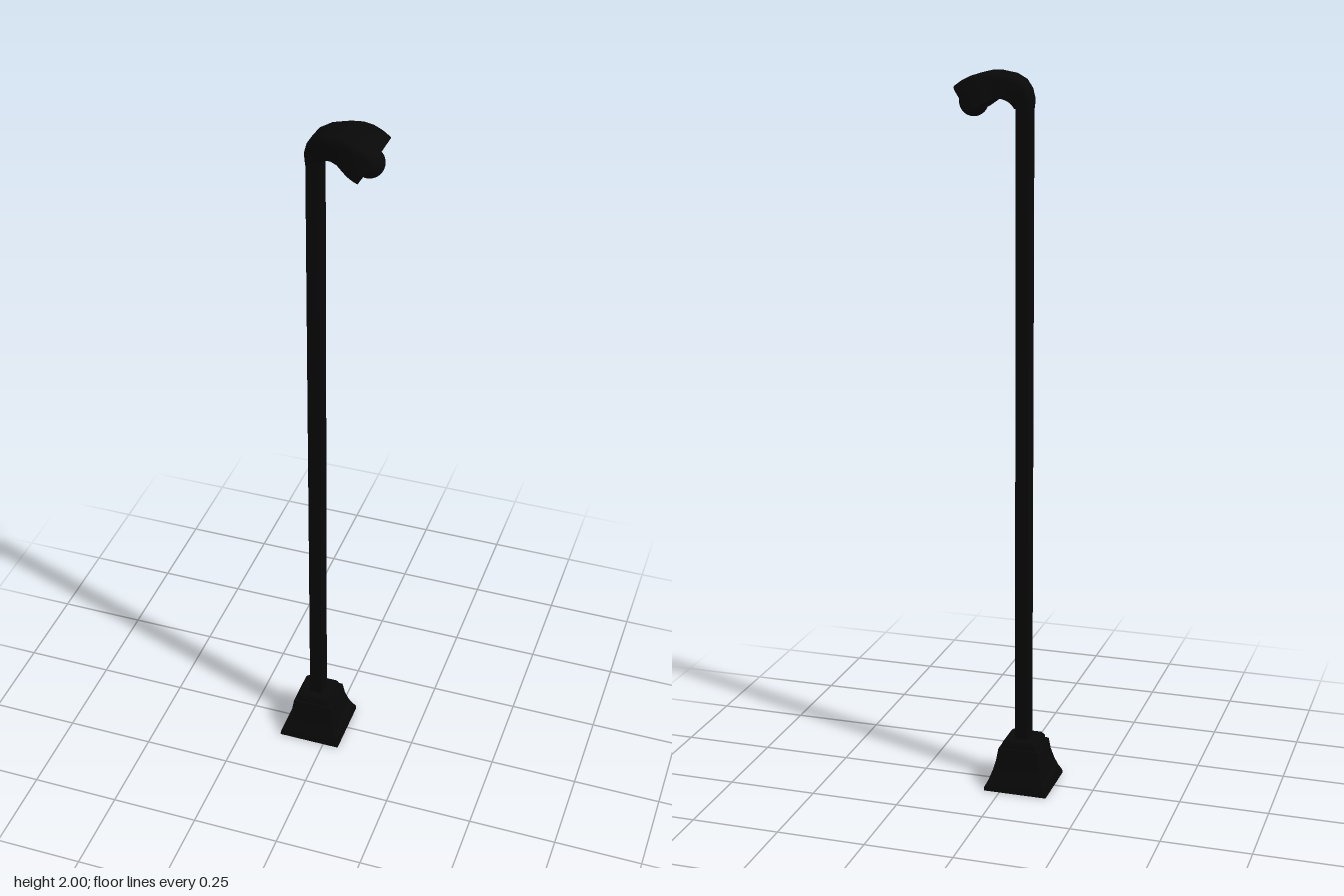
import * as THREE from 'three';
import { toCreasedNormals } from 'three/addons/utils/BufferGeometryUtils.js';

const black = new THREE.MeshStandardMaterial({ color: 0x080808 });
const POLE_X = -0.045;

// Skin a list of rings (each counterclockwise about the direction of travel) and cap both ends.
function loft(rings, crease = 0.6) {
  const n = rings[0].length;
  const index = [];
  for (let r = 0; r < rings.length - 1; r++) {
    for (let i = 0; i < n; i++) {
      const j = (i + 1) % n, a = r * n, b = a + n;
      index.push(a + i, a + j, b + j, a + i, b + j, b + i);
    }
  }
  const last = (rings.length - 1) * n;
  for (let i = 1; i < n - 1; i++) {
    index.push(0, i + 1, i, last, last + i, last + i + 1);
  }
  const geometry = new THREE.BufferGeometry();
  geometry.setAttribute('position', new THREE.Float32BufferAttribute(rings.flat(2), 3));
  geometry.setIndex(index);
  return toCreasedNormals(geometry, crease);
}

// Horizontal rectangle with cut corners, around the pole axis.
function plate(y, hx, hz = hx, c = 0.002) {
  return [
    [hx - c, hz], [hx, hz - c], [hx, c - hz], [hx - c, -hz],
    [c - hx, -hz], [-hx, c - hz], [-hx, hz - c], [c - hx, hz],
  ].map(([x, z]) => [POLE_X + x, y, z]);
}

// Hood section: spans from upper point to lower point, half width w, with rounded upper corners.
function hoodRing([tx, ty, bx, by, w]) {
  const length = Math.hypot(tx - bx, ty - by);
  const r = Math.min(0.016, length * 0.35, w * 0.4);
  const side = [];
  for (let k = 0; k <= 3; k++) {
    const a = (k / 3) * Math.PI / 2;
    side.push([r * (1 - Math.cos(a)), w - r + r * Math.sin(a)]);
  }
  side.push([length, w]);
  const outline = [...side, ...side.map(([d, z]) => [d, -z]).reverse()];
  return outline.map(([d, z]) => [tx + (bx - tx) * d / length, ty + (by - ty) * d / length, z]);
}

export function createModel() {
  const group = new THREE.Group();
  const add = (name, geometry) => {
    const mesh = new THREE.Mesh(geometry, black);
    mesh.name = name;
    group.add(mesh);
    return mesh;
  };

  // Flared square foot
  add('base', loft([
    plate(0, 0.091), plate(0.01, 0.09), plate(0.03, 0.08), plate(0.055, 0.071),
    plate(0.085, 0.063), plate(0.118, 0.058),
  ]));
  // Stepped collar where the pole enters the foot
  add('baseCollar', loft([
    plate(0.11, 0.051, 0.051, 0.006), plate(0.132, 0.05, 0.05, 0.006),
    plate(0.139, 0.045, 0.045, 0.006),
  ]));
  // Straight pole
  add('pole', loft([plate(0.12, 0.02, 0.022, 0.003), plate(1.93, 0.02, 0.022, 0.003)]));

  // Curved hood widening towards its open end: upper x, y, lower x, y, half width
  add('hood', loft([
    [-0.067, 1.905, -0.024, 1.905, 0.027],
    [-0.068, 1.93, -0.02, 1.912, 0.03],
    [-0.06, 1.957, -0.012, 1.922, 0.036],
    [-0.043, 1.979, -0.002, 1.929, 0.043],
    [-0.015, 1.993, 0.01, 1.933, 0.05],
    [0.03, 2.0, 0.03, 1.93, 0.059],
    [0.06, 1.998, 0.045, 1.922, 0.068],
    [0.085, 1.99, 0.06, 1.912, 0.074],
    [0.108, 1.979, 0.075, 1.902, 0.074],
    [0.13, 1.963, 0.088, 1.896, 0.074],
    // rim and shallow recess
    [0.125, 1.955, 0.093, 1.904, 0.066],
    [0.107, 1.966, 0.075, 1.915, 0.066],
  ].map(hoodRing), 0.7));

  // Round bulb in the hood mouth
  add('bulb', new THREE.SphereGeometry(0.039, 24, 16)).position.set(0.095, 1.92, 0);

  return group;
}
